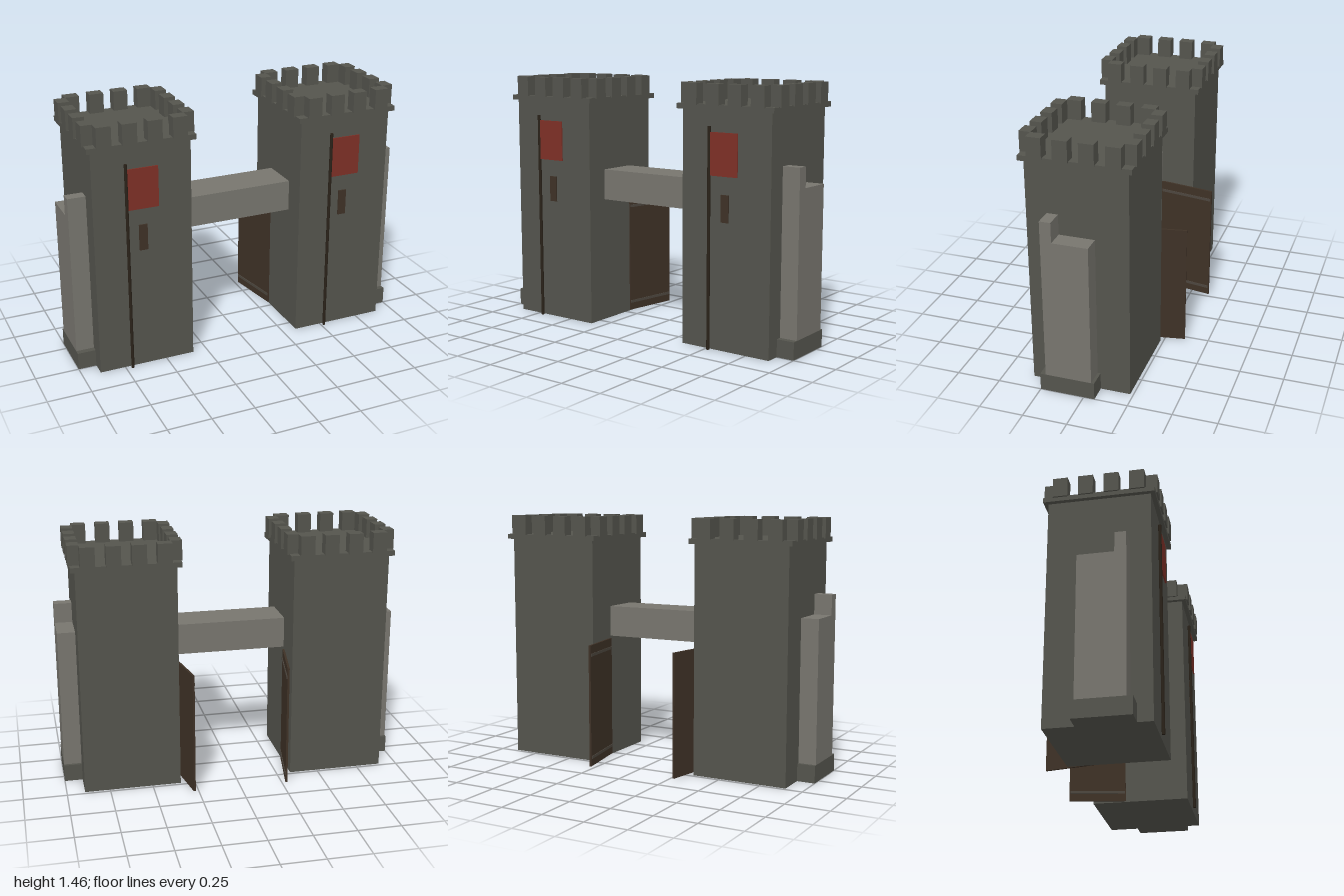
import * as THREE from 'three';

const mat = (name, color) => Object.assign(new THREE.MeshStandardMaterial({ color }), { name });

export function createModel() {
  const darkStone = mat('dark stone', 0x54544d);
  const lightStone = mat('light stone', 0x77756e);
  const wood = mat('dark wood', 0x3e3126);
  const poleWood = mat('pole wood', 0x2a2219);
  const iron = mat('iron', 0x4c463e);
  const cloth = mat('red cloth', 0x7e3026);

  // Box given by its extents on each axis
  const box = (parent, name, material, [x0, x1], [y0, y1], [z0, z1]) => {
    const mesh = new THREE.Mesh(new THREE.BoxGeometry(x1 - x0, y1 - y0, z1 - z0), material);
    mesh.position.set((x0 + x1) / 2, (y0 + y1) / 2, (z0 + z1) / 2);
    mesh.name = name;
    parent.add(mesh);
    return mesh;
  };
  const around = (centre, size) => [centre - size / 2, centre + size / 2];

  const model = new THREE.Group();
  model.name = 'castleGate';
  const half = 0.2825, cx = 0.615, cz = 0.051;

  for (const s of [-1, 1]) {
    const side = s > 0 ? 'left' : 'right';
    const sx = (a, b) => (s > 0 ? [a, b] : [-b, -a]);

    // Tower body and overhanging parapet slab
    const tower = new THREE.Group();
    tower.name = side + 'Tower';
    model.add(tower);
    box(tower, 'towerBody', darkStone, sx(0.334, 0.896), [0, 1.32], [cz - half, cz + half]);
    box(tower, 'parapetSlab', darkStone, sx(0.309, 0.921), [1.316, 1.345], [cz - 0.307, cz + 0.307]);

    // Four battlement blocks along each edge
    for (let i = 0; i < 4; i++) {
      const t = (i - 1.5) * 0.141;
      for (const e of [-1, 1]) {
        box(tower, 'battlement', darkStone, around(s * cx + t, 0.082), [1.34, 1.456], around(cz + e * half, 0.065));
        box(tower, 'battlement', darkStone, around(s * cx + e * half, 0.065), [1.34, 1.456], around(cz + t, 0.082));
      }
    }

    // Arrow slit, banner and pole sit at the same offset on both towers
    const c = s * cx;
    box(tower, 'arrowSlit', wood, around(c - 0.003, 0.048), [0.715, 0.865], [0.333, 0.342]);
    box(tower, 'banner', cloth, [c - 0.087, c + 0.085], [0.966, 1.2], [0.349, 0.356]);
    const pole = new THREE.Mesh(new THREE.CylinderGeometry(0.009, 0.009, 1.23, 8), poleWood);
    pole.position.set(c - 0.096, 0.615, 0.352);
    pole.name = 'bannerPole';
    tower.add(pole);

    // Stub of curtain wall on the outer side
    const wall = new THREE.Group();
    wall.name = side + 'Wall';
    model.add(wall);
    box(wall, 'wallBody', lightStone, sx(0.89, 0.999), [0.001, 0.915], [-0.045, 0.218]);
    box(wall, 'wallParapet', lightStone, sx(0.89, 0.999), [0.915, 1.03], [0.155, 0.218]);
    box(wall, 'wallBase', darkStone, sx(0.89, 1), [0, 0.1], [-0.062, 0.25]);

    // Open gate leaf, hinged behind the passage, straps on the inner face
    const gate = new THREE.Group();
    gate.name = side + 'Gate';
    gate.position.set(s * 0.333, 0, -0.035);
    gate.rotation.y = s * 0.175;
    model.add(gate);
    box(gate, 'gateLeaf', wood, around(0, 0.012), [0.005, 0.72], [-0.335, 0]);
    for (const y of [0.057, 0.663]) {
      box(gate, 'gateStrap', iron, around(-s * 0.007, 0.006), around(y, 0.016), [-0.33, -0.005]);
    }
  }

  // Bridge over the passage
  box(model, 'bridge', lightStone, [-0.335, 0.335], [0.735, 0.915], [-0.035, 0.2]);
  return model;
}
